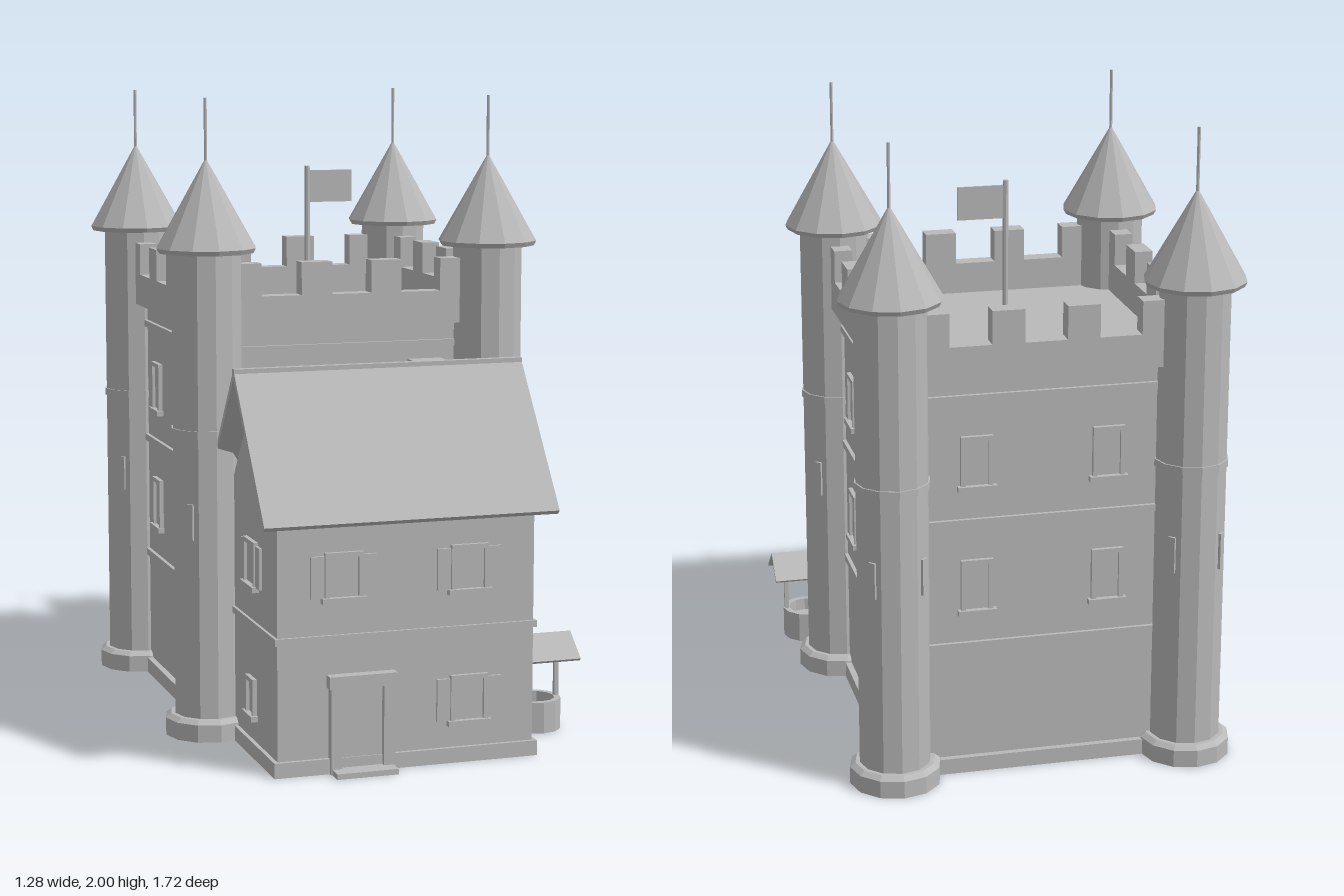
import * as THREE from 'three';

const stone = new THREE.MeshStandardMaterial({ color: 0xb9b9b9, flatShading: true });
stone.name = 'stone grey';

const CX = -0.02, CZ = -0.24; // middle of the keep
const SPAN = 0.465;           // tower offset from the middle
const WALL = 0.455;           // half width of the keep

function add(parent, name, geometry, x = 0, y = 0, z = 0) {
  const mesh = new THREE.Mesh(geometry, stone);
  mesh.name = name;
  mesh.position.set(x, y, z);
  parent.add(mesh);
  return mesh;
}

// Box from its min and max corners
function box(parent, name, x0, x1, y0, y1, z0, z1) {
  return add(parent, name, new THREE.BoxGeometry(x1 - x0, y1 - y0, z1 - z0),
    (x0 + x1) / 2, (y0 + y1) / 2, (z0 + z1) / 2);
}

function cylinder(parent, name, r0, r1, y0, y1, x = 0, z = 0, sides = 12) {
  return add(parent, name, new THREE.CylinderGeometry(r1, r0, y1 - y0, sides), x, (y0 + y1) / 2, z);
}

function group(parent, name, x = 0, y = 0, z = 0, turn = 0) {
  const g = new THREE.Group();
  g.name = name;
  g.position.set(x, y, z);
  g.rotation.y = turn;
  parent.add(g);
  return g;
}

// Extrudes a (z, y) outline along x between x0 and x1
function prism(parent, name, points, x0, x1) {
  const shape = new THREE.Shape(points.map(p => new THREE.Vector2(p[0], p[1])));
  const geo = new THREE.ExtrudeGeometry(shape, { depth: x1 - x0, bevelEnabled: false });
  geo.rotateY(-Math.PI / 2);
  return add(parent, name, geo, x1, 0, 0);
}

// Framed window facing local +z, with a sill and optional shutters
function windowAt(parent, x, y0, y1, z, w, shutters) {
  const g = group(parent, 'window', x, 0, z);
  const h = w / 2, t = 0.014, d = 0.014;
  box(g, 'pane', -h, h, y0, y1, -0.002, 0.004);
  for (const s of [-1, 1]) {
    const c = s * (h - t / 2);
    box(g, 'jamb', c - t / 2, c + t / 2, y0, y1, -0.005, d);
    if (shutters) {
      const k = s * (h + 0.022);
      box(g, 'shutter', k - 0.021, k + 0.021, y0 + 0.012, y1 - 0.01, -0.005, 0.009);
    }
  }
  box(g, 'lintel', -h, h, y1 - t, y1, -0.005, d);
  box(g, 'sill', -h - 0.01, h + 0.01, y0 - 0.003, y0 + t, -0.005, d + 0.008);
}

function buildTower(parent, x, z) {
  const t = group(parent, 'tower', x, 0, z);
  cylinder(t, 'towerBase', 0.142, 0.142, 0, 0.055);
  cylinder(t, 'towerBaseBevel', 0.142, 0.125, 0.055, 0.068);
  cylinder(t, 'towerShaft', 0.111, 0.111, 0.06, 1.54);
  cylinder(t, 'towerBand', 0.116, 0.116, 0.957, 0.98);
  cylinder(t, 'roofRim', 0.15, 0.158, 1.525, 1.54);
  cylinder(t, 'towerRoof', 0.158, 0.001, 1.54, 1.815);
  cylinder(t, 'spire', 0.005, 0.005, 1.79, 2, 0, 0, 6);
  // Arrow slits on the diagonals
  for (let i = 0; i < 4; i++) {
    const s = group(t, 'arrowSlit', 0, 0, 0, Math.PI / 4 + i * Math.PI / 2);
    box(s, 'slit', -0.011, 0.011, 0.635, 0.75, 0.1, 0.115);
  }
}

function buildKeep(parent) {
  const keep = group(parent, 'keep', CX, 0, CZ);
  box(keep, 'keepWalls', -WALL, WALL, 0, 1.285, -WALL, WALL);
  box(keep, 'plinth', -0.475, 0.475, 0, 0.05, -0.475, 0.475);
  for (const y of [0.41, 0.81, 1.203]) {
    box(keep, 'stringCourse', -0.467, 0.467, y, y + 0.022, -0.467, 0.467);
  }
  for (let i = 0; i < 4; i++) {
    const side = group(keep, 'keepSide', 0, 0, 0, i * Math.PI / 2);
    box(side, 'parapet', -SPAN, SPAN, 1.28, 1.385, 0.436, 0.494);
    for (const x of [-0.345, -0.115, 0.115, 0.345]) {
      box(side, 'merlon', x - 0.05, x + 0.05, 1.385, 1.488, 0.436, 0.494);
    }
    for (const x of [-0.205, 0.205]) {
      if (i > 0) windowAt(side, x, 0.525, 0.7, WALL, 0.1, false);
      windowAt(side, x, 0.925, 1.095, WALL, 0.1, false);
    }
  }
  // Flag on the roof deck
  cylinder(keep, 'flagPole', 0.009, 0.009, 1.28, 1.76, 0.004, 0.005, 8);
  box(keep, 'flag', 0.01, 0.157, 1.64, 1.745, 0.002, 0.008);
  for (const sx of [-1, 1]) for (const sz of [-1, 1]) buildTower(keep, sx * SPAN, sz * SPAN);
}

function buildHouse(parent) {
  const house = group(parent, 'house');
  const L = -0.425, R = 0.39, F = 0.783, B = 0.2, RZ = 0.52;
  prism(house, 'houseWalls', [[B, 0], [F, 0], [F, 0.765], [RZ, 1.1], [B + 0.057, 0.765], [B, 0.765]], L, R);
  box(house, 'housePlinth', L - 0.013, R + 0.013, 0, 0.047, B, F + 0.013);
  box(house, 'houseBand', L - 0.009, R + 0.009, 0.403, 0.424, B, F + 0.009);
  // Gable roof, with slopes overhanging the walls
  prism(house, 'houseRoof', [[0.848, 0.772], [RZ, 1.197], [0.195, 0.772], [0.207, 0.76],
    [RZ, 1.168], [0.836, 0.76]], -0.482, 0.446);
  box(house, 'ridge', -0.482, 0.446, 1.178, 1.198, 0.505, 0.53);
  box(house, 'chimney', 0.125, 0.218, 0.8, 1.175, 0.405, 0.492);
  box(house, 'chimneyCap', 0.116, 0.225, 1.172, 1.19, 0.395, 0.502);

  windowAt(house, -0.22, 0.525, 0.675, F, 0.12, true);
  windowAt(house, 0.18, 0.525, 0.675, F, 0.12, true);
  windowAt(house, 0.18, 0.118, 0.272, F, 0.12, true);
  for (const s of [-1, 1]) {
    const side = group(house, 'houseSide', s > 0 ? R : L, 0, RZ, s * Math.PI / 2);
    windowAt(side, 0, 0.525, 0.675, 0, 0.12, true);
    windowAt(side, 0, 0.118, 0.245, 0, 0.085, false);
  }

  // Front door
  const door = group(house, 'door', -0.165, 0, F);
  box(door, 'doorLeaf', -0.075, 0.075, 0.015, 0.265, 0, 0.009);
  for (const s of [-1, 1]) box(door, 'doorJamb', s * 0.083 - 0.017, s * 0.083 + 0.017, 0, 0.265, 0, 0.028);
  box(door, 'doorLintel', -0.107, 0.107, 0.265, 0.303, 0, 0.036);
  box(door, 'doorStep', -0.097, 0.097, 0, 0.017, 0, 0.077);
}

function buildWell(parent) {
  const well = group(parent, 'well', 0.515, 0, 0.493);
  // Hollow basin
  const rim = [[0, 0], [0.085, 0], [0.085, 0.1], [0.065, 0.1], [0.065, 0.06], [0, 0.06]];
  add(well, 'wellBasin', new THREE.LatheGeometry(rim.map(p => new THREE.Vector2(p[0], p[1])), 12));
  for (const s of [-1, 1]) box(well, 'wellPost', s * 0.074 - 0.007, s * 0.074 + 0.007, 0.06, 0.29, -0.007, 0.007);
  const bar = cylinder(well, 'windlass', 0.007, 0.007, -0.085, 0.085, 0, 0, 8);
  bar.rotation.z = Math.PI / 2;
  bar.position.y = 0.215;
  prism(well, 'wellRoof', [[0.088, 0.235], [0, 0.306], [-0.088, 0.235], [-0.082, 0.228],
    [0, 0.294], [0.082, 0.228]], -0.118, 0.122);
}

export function createModel() {
  const model = new THREE.Group();
  model.name = 'castle';
  buildKeep(model);
  buildHouse(model);
  buildWell(model);
  return model;
}
